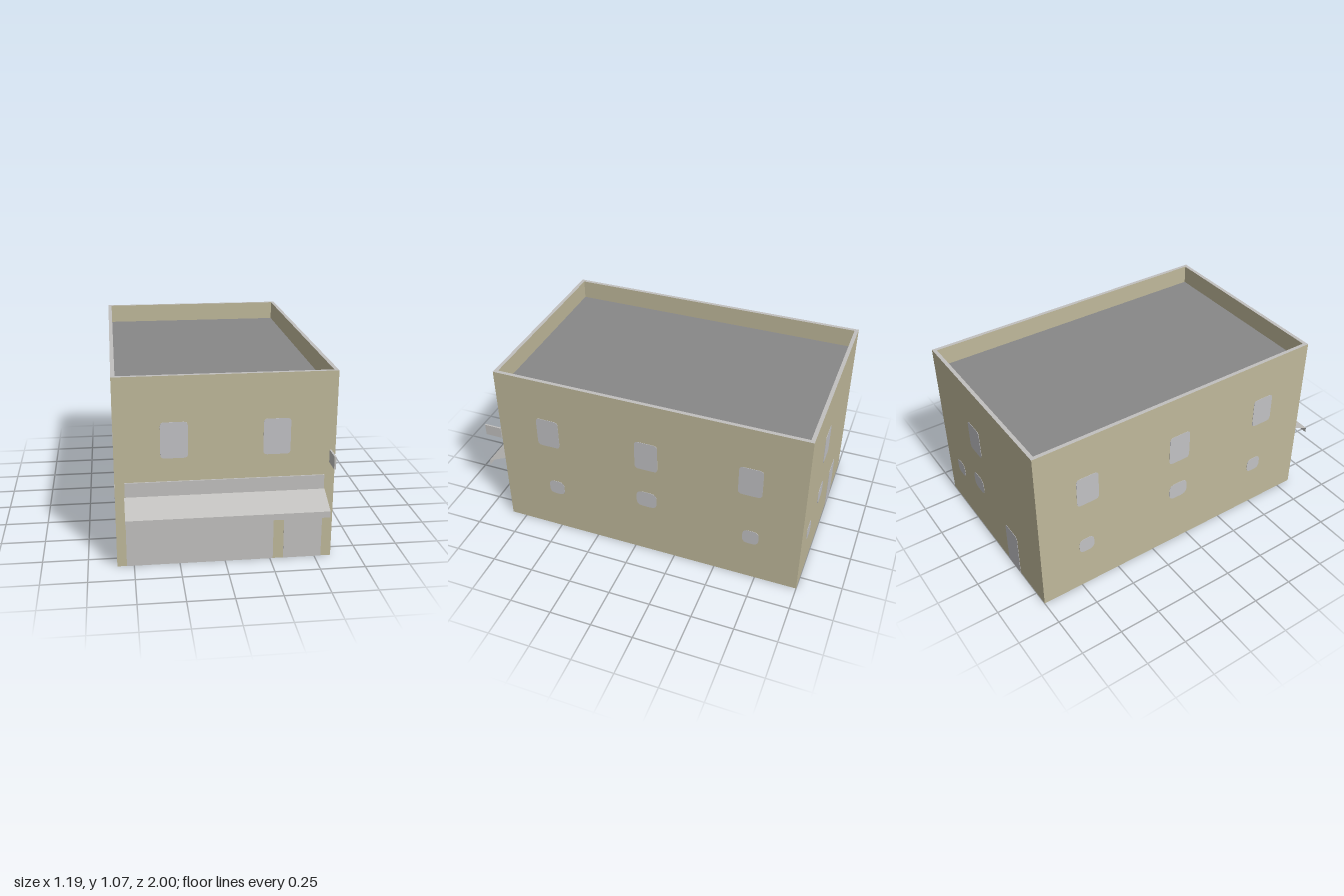
import * as THREE from 'three';

const W = 1.184, L = 1.845, H = 1.07, ROOF = 0.955, RIM = 0.022, CZ = -0.0775;

const make = (name, color, side = THREE.FrontSide) => {
  const m = new THREE.MeshStandardMaterial({ color, side });
  m.name = name;
  return m;
};

// Rectangle with rounded top corners, and rounded bottom ones unless it stands on the ground
function paneShape(w, h, r, grounded) {
  const s = new THREE.Shape(), x = w / 2, b = grounded ? 0 : r;
  s.moveTo(-x + b, 0).lineTo(x - b, 0);
  if (b) s.quadraticCurveTo(x, 0, x, b);
  s.lineTo(x, h - r).quadraticCurveTo(x, h, x - r, h);
  s.lineTo(-x + r, h).quadraticCurveTo(-x, h, -x, h - r);
  s.lineTo(-x, b);
  if (b) s.quadraticCurveTo(-x, 0, -x + b, 0);
  return s;
}

export function createModel() {
  const wallMat = make('tan wall', 0xbfb89a, THREE.DoubleSide);
  const glassMat = make('pale glass', 0xc1c1c4);
  const trimMat = make('light grey trim', 0xc1c0be, THREE.DoubleSide);
  const roofMat = make('dark grey roof', 0x888888, THREE.DoubleSide);

  const model = new THREE.Group();
  model.name = 'shopBuilding';
  const add = (parent, name, geo, mat, x = 0, y = 0, z = 0) => {
    const mesh = new THREE.Mesh(geo, mat);
    mesh.name = name;
    mesh.position.set(x, y, z);
    parent.add(mesh);
    return mesh;
  };

  const body = new THREE.Group();
  body.name = 'body';
  body.position.z = CZ;
  model.add(body);

  // Openings: [name, centre along wall, bottom, width, height, corner radius]
  const sideOpenings = (dir) => [
    ...[0.61, 0, -0.61].map((u) => ['upperWindow', u * dir, 0.62, 0.138, 0.19, 0.025]),
    ['lowerWindow', 0.583 * dir, 0.263, 0.096, 0.096, 0.035],
    ['lowerWindow', 0, 0.343, 0.125, 0.108, 0.04],
    ['lowerWindow', -0.63 * dir, 0.263, 0.096, 0.096, 0.035],
  ];
  const front = [
    ['upperWindow', -0.274, 0.62, 0.146, 0.2, 0.022],
    ['upperWindow', 0.273, 0.62, 0.146, 0.2, 0.022],
    ['shopWindow', -0.137, 0, 0.806, 0.41, 0.02],
    ['shopDoor', 0.43, 0, 0.212, 0.41, 0.02],
  ];
  const back = [
    ['upperWindow', -0.12, 0.62, 0.138, 0.19, 0.025],
    ['lowerWindow', -0.403, 0.252, 0.096, 0.096, 0.035],
    ['lowerWindow', -0.143, 0.315, 0.122, 0.11, 0.04],
    ['backDoor', 0.24, 0, 0.14, 0.285, 0.025],
  ];
  const sides = [
    ['front', 0, W, L / 2, front],
    ['left', Math.PI / 2, L, W / 2, sideOpenings(-1)],
    ['back', Math.PI, W, L / 2, back],
    ['right', -Math.PI / 2, L, W / 2, sideOpenings(1)],
  ];

  // Each side: outer wall, inner parapet face and openings
  for (const [name, angle, width, dist, openings] of sides) {
    const g = new THREE.Group();
    g.name = name + 'Side';
    g.rotation.y = angle;
    body.add(g);
    add(g, name + 'Wall', new THREE.PlaneGeometry(width, H), wallMat, 0, H / 2, dist);
    add(g, name + 'ParapetInside', new THREE.PlaneGeometry(width - 2 * RIM, H - ROOF), wallMat,
      0, (H + ROOF) / 2, dist - RIM);
    for (const [label, u, y, w, h, r] of openings) {
      const geo = new THREE.ExtrudeGeometry(paneShape(w, h, r, y === 0),
        { depth: 0.004, bevelEnabled: false, curveSegments: 5 });
      add(g, label, geo, /shop/.test(label) ? trimMat : glassMat, u, y, dist - 0.002);
    }
  }

  // Parapet rim and sunken flat roof
  const rect = (C, w, l) => new C([[-1, -1], [1, -1], [1, 1], [-1, 1]]
    .map(([a, b]) => new THREE.Vector2(a * w / 2, b * l / 2)));
  const rim = rect(THREE.Shape, W, L);
  rim.holes.push(rect(THREE.Path, W - 2 * RIM, L - 2 * RIM));
  add(body, 'parapetRim', new THREE.ShapeGeometry(rim).rotateX(-Math.PI / 2), trimMat, 0, H, 0);
  add(body, 'roof', new THREE.PlaneGeometry(W - 0.002, L - 0.002).rotateX(-Math.PI / 2), roofMat, 0, ROOF, 0);

  // Sign board above the shop front
  add(model, 'signBoard', new THREE.BoxGeometry(1.075, 0.08, 0.009), trimMat, -0.002, 0.45, 0.85);

  // Sloping canopy with a hanging lip
  const slope = Math.hypot(0.15, 0.067);
  const canopy = add(model, 'canopy', new THREE.PlaneGeometry(1.084, slope), trimMat, -0.001, 0.3735, 0.923);
  canopy.rotation.x = -Math.atan2(0.15, 0.067);
  add(model, 'canopyLip', new THREE.PlaneGeometry(1.084, 0.035), trimMat, -0.001, 0.3225, 0.998);

  // Small projecting sign
  add(model, 'projectingSign', new THREE.BoxGeometry(0.01, 0.07, 0.104), trimMat, 0.559, 0.605, 0.922);

  return model;
}
